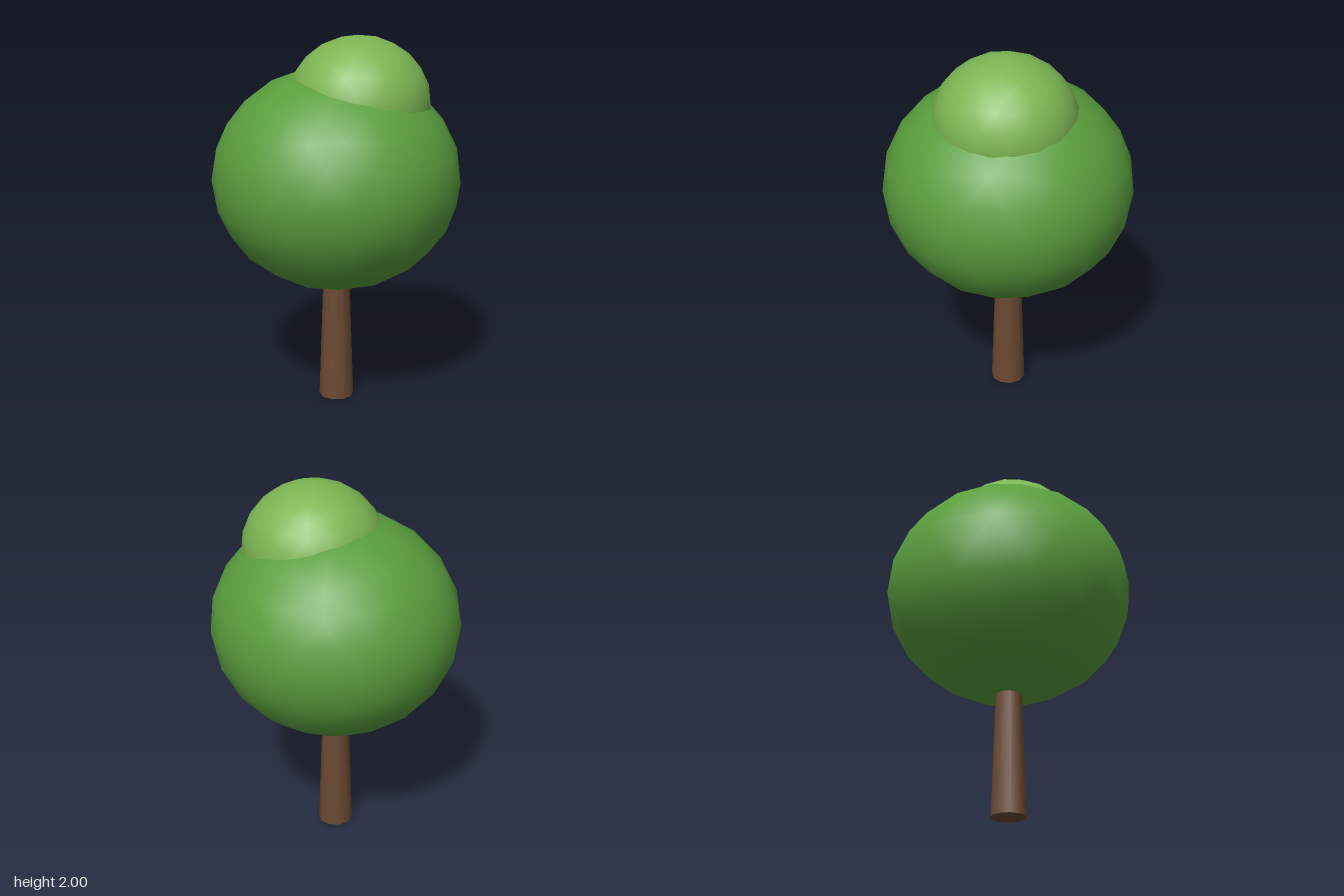
import * as THREE from 'three';

// Unit icosphere with its poles on the y axis
function icosphere(detail) {
  const verts = [0, 1, 0, 0, -1, 0];
  const faces = [];
  const ringY = 1 / Math.sqrt(5), ringR = 2 / Math.sqrt(5);
  for (let i = 0; i < 5; i++) {
    const a = (i * 2 * Math.PI) / 5, b = a + Math.PI / 5;
    verts.push(ringR * Math.cos(a), ringY, ringR * Math.sin(a));
    verts.push(ringR * Math.cos(b), -ringY, ringR * Math.sin(b));
    const j = (i + 1) % 5;
    const u = 2 + 2 * i, l = u + 1, u2 = 2 + 2 * j, l2 = u2 + 1;
    faces.push(0, u2, u, u, u2, l, l, u2, l2, 1, l, l2);
  }
  return new THREE.PolyhedronGeometry(verts, faces, 1, detail);
}

function addPart(group, name, geometry, color) {
  const mesh = new THREE.Mesh(geometry, new THREE.MeshStandardMaterial({ color }));
  mesh.name = name;
  group.add(mesh);
  return mesh;
}

// Slightly flattened ball of leaves
function addFoliage(group, name, color, radius, height, x, y, z) {
  const geometry = icosphere(3).scale(radius, height, radius).translate(x, y, z);
  return addPart(group, name, geometry, color);
}

export function createModel() {
  const tree = new THREE.Group();
  tree.name = 'tree';

  // Tapered trunk, running up into the crown
  const trunk = new THREE.CylinderGeometry(0.064, 0.095, 0.9, 10).translate(0, 0.45, 0);
  addPart(tree, 'trunk', trunk, 0x6b4a32);

  // Main crown and the lighter tuft on top
  addFoliage(tree, 'crown', 0x5a9e3d, 0.66, 0.595, 0, 1.245, 0);
  addFoliage(tree, 'topTuft', 0x7cb552, 0.375, 0.35, 0.1, 1.65, 0.065);

  return tree;
}
